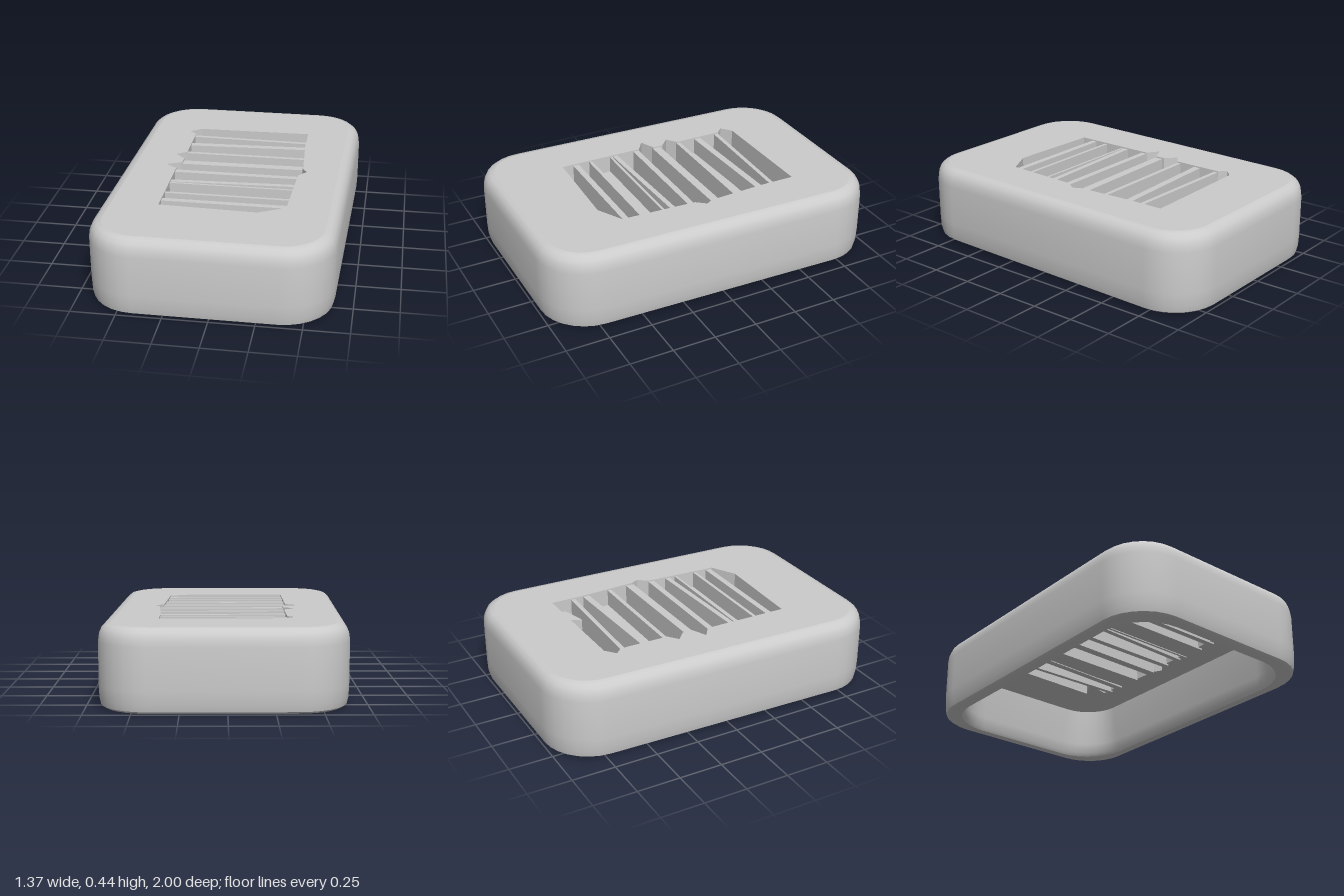
import * as THREE from 'three';
import { toCreasedNormals } from 'three/addons/utils/BufferGeometryUtils.js';

const HALF_W = 0.67, HALF_L = 1, RADIUS = 0.28;
const CEILING = 0.31, TOP = 0.445;

// Rounded rectangle in plan, inset from the outer wall and slightly skewed
function outline(inset, r = RADIUS - inset) {
  const points = [], steps = 7;
  const corners = [[1, 1], [-1, 1], [-1, -1], [1, -1]];
  corners.forEach(([sx, sz], q) => {
    for (let i = 0; i <= steps; i++) {
      const a = (q + i / steps) * Math.PI / 2;
      const x = sx * (HALF_W - inset - r) + r * Math.cos(a);
      const z = sz * (HALF_L - inset - r) + r * Math.sin(a);
      points.push([x - 0.024 * z, z]);
    }
  });
  return points;
}

// Skin a profile of [inset, y, corner radius] around the outline
function loft(profile) {
  const position = [], index = [];
  const n = outline(0).length;
  profile.forEach(([inset, y, r]) => outline(inset, r).forEach(([x, z]) => position.push(x, y, z)));
  for (let j = 0; j < profile.length - 1; j++) {
    for (let i = 0; i < n; i++) {
      const a = j * n + i, b = j * n + (i + 1) % n;
      index.push(a, a + n, b, b, a + n, b + n);
    }
  }
  const geometry = new THREE.BufferGeometry();
  geometry.setAttribute('position', new THREE.Float32BufferAttribute(position, 3));
  geometry.setIndex(index);
  return toCreasedNormals(geometry, 0.6);
}

// Horizontal slab from plan points [x, z], between two heights
const toVectors = (points) => points.map(([x, z]) => new THREE.Vector2(x, -z));
function slab(points, bottom, top, hole) {
  const shape = new THREE.Shape(toVectors(points));
  // the hole runs the other way round, so its walls face into the opening
  if (hole) shape.holes.push(new THREE.Path(toVectors(hole).reverse()));
  const geometry = new THREE.ExtrudeGeometry(shape, { depth: top - bottom, bevelEnabled: false });
  geometry.rotateX(-Math.PI / 2);
  geometry.translate(0, bottom, 0);
  return geometry;
}

export function createModel() {
  const model = new THREE.Group();
  model.name = 'ventedCover';
  const material = new THREE.MeshStandardMaterial({ color: 0xcccccc, side: THREE.DoubleSide });
  const add = (name, geometry, parent = model) => {
    const mesh = new THREE.Mesh(geometry, material);
    mesh.name = name;
    parent.add(mesh);
  };

  // Hollow wall: inside face, bottom rim, outside face, rounded top edge
  add('wall', loft([
    [0.115, CEILING + 0.01, 0.22], [0.1, 0.08, 0.26], [0.09, 0.02, 0.27], [0.08, 0, 0.27],
    [0.03, 0], [0.012, 0.012], [0.003, 0.05], [0, 0.12], [0, 0.35],
    [0.006, 0.39], [0.02, 0.42], [0.042, 0.438], [0.07, TOP],
  ]));

  // Top plate with the notched vent opening
  const opening = [
    [-0.31, -0.59], [0.37, -0.6], [0.37, -0.4], [0.39, -0.06], [0.415, -0.015],
    [0.37, 0.04], [0.35, 0.48], [0.2, 0.56], [-0.35, 0.54], [-0.35, 0.04],
    [-0.42, -0.01], [-0.33, -0.05], [-0.33, -0.11], [-0.39, -0.165],
    [-0.33, -0.21], [-0.33, -0.5], [-0.37, -0.54],
  ];
  add('topPlate', slab(outline(0.07), CEILING, TOP, opening));

  // Upright slats across the opening: z at left end, z at right end, thickness
  const slats = new THREE.Group();
  slats.name = 'slats';
  model.add(slats);
  [
    [-0.485, -0.465, 0.025], [-0.35, -0.38, 0.04], [-0.22, -0.22, 0.025],
    [-0.07, -0.08, 0.05], [0.06, 0.06, 0.035], [0.2, 0.17, 0.03],
    [0.228, 0.228, 0.014], [0.36, 0.36, 0.02], [0.455, 0.455, 0.035],
  ].forEach(([zl, zr, t]) => {
    const plan = [[-0.35, zl - t / 2], [0.385, zr - t / 2], [0.385, zr + t / 2], [-0.35, zl + t / 2]];
    add('slat', slab(plan, CEILING - 0.01, TOP - 0.008), slats);
  });

  // Recessed panels closing two of the gaps
  [[-0.35, -0.22], [0.228, 0.36]].forEach(([z0, z1]) => {
    add('gapPanel', slab([[-0.36, z0], [0.38, z0], [0.38, z1], [-0.36, z1]], CEILING - 0.005, CEILING + 0.03));
  });

  // Web across the back corner of the opening
  add('cornerWeb', slab([[0.29, -0.6], [0.38, -0.6], [0.38, -0.52], [0.21, -0.475]], CEILING, CEILING + 0.06));

  return model;
}
